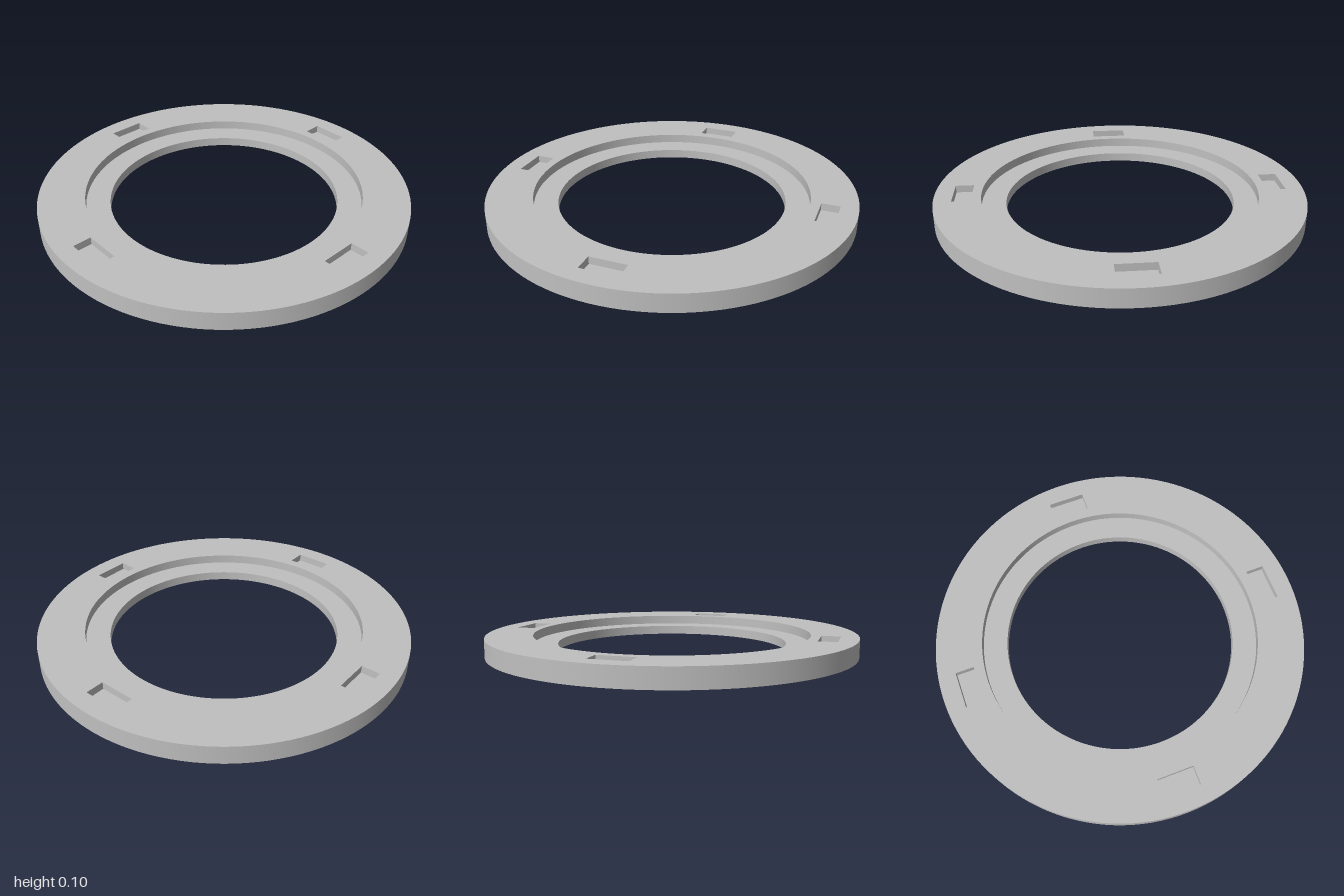
import * as THREE from 'three';
import { mergeGeometries } from 'three/addons/utils/BufferGeometryUtils.js';

const OUTER = 1, STEP = 0.75, INNER = 0.62;
const HEIGHT = 0.1, LEDGE = 0.05, DEPTH = 0.04;
const SEGMENTS = 128;
// pocket centres with their half sizes in x and z
const POCKETS = [
  [0, 0.85, 0.1, 0.05], [0, -0.85, 0.1, 0.05],
  [0.85, 0, 0.05, 0.1], [-0.85, 0, 0.05, 0.1],
];

// Flat ring with rectangular openings, lying in the xz plane
function pocketedFace(innerRadius, y, up) {
  const shape = new THREE.Shape().absarc(0, 0, OUTER, 0, Math.PI * 2, false);
  shape.holes.push(new THREE.Path().absarc(0, 0, innerRadius, 0, Math.PI * 2, true));
  for (const [x, z, w, d] of POCKETS) {
    shape.holes.push(new THREE.Path([
      new THREE.Vector2(x - w, z - d), new THREE.Vector2(x - w, z + d),
      new THREE.Vector2(x + w, z + d), new THREE.Vector2(x + w, z - d),
      new THREE.Vector2(x - w, z - d),
    ]));
  }
  return new THREE.ShapeGeometry(shape, SEGMENTS / 2)
    .rotateX(up ? -Math.PI / 2 : Math.PI / 2).translate(0, y, 0);
}

// One revolved band, kept separate so that its edges stay sharp
function band(r0, y0, r1, y1) {
  return new THREE.LatheGeometry([new THREE.Vector2(r0, y0), new THREE.Vector2(r1, y1)], SEGMENTS);
}

// Inward-facing box without its open side
function pocket([x, z, w, d], up) {
  const geo = new THREE.BoxGeometry(w * 2, DEPTH, d * 2);
  const open = up ? 2 : 3;
  const index = Array.from(geo.index.array).filter((_, i) => Math.floor(i / 6) !== open);
  geo.setIndex(index.reverse());
  geo.clearGroups();
  geo.computeVertexNormals();
  return geo.translate(x, up ? HEIGHT - DEPTH / 2 : DEPTH / 2, z);
}

export function createModel() {
  const model = new THREE.Group();
  model.name = 'steppedRing';
  const grey = new THREE.MeshStandardMaterial({ color: 0xc0c0c0 });
  grey.name = 'light grey';

  const add = (name, geometry) => {
    const mesh = new THREE.Mesh(geometry, grey);
    mesh.name = name;
    model.add(mesh);
  };

  add('topFace', pocketedFace(STEP, HEIGHT, true));
  add('bottomFace', pocketedFace(INNER, 0, false));
  add('outerWall', band(OUTER, 0, OUTER, HEIGHT));
  add('innerLedge', mergeGeometries([
    band(STEP, HEIGHT, STEP, LEDGE),
    band(STEP, LEDGE, INNER, LEDGE),
    band(INNER, LEDGE, INNER, 0),
  ]));
  add('topPockets', mergeGeometries(POCKETS.map((p) => pocket(p, true))));
  add('bottomPockets', mergeGeometries(POCKETS.map((p) => pocket(p, false))));
  return model;
}
